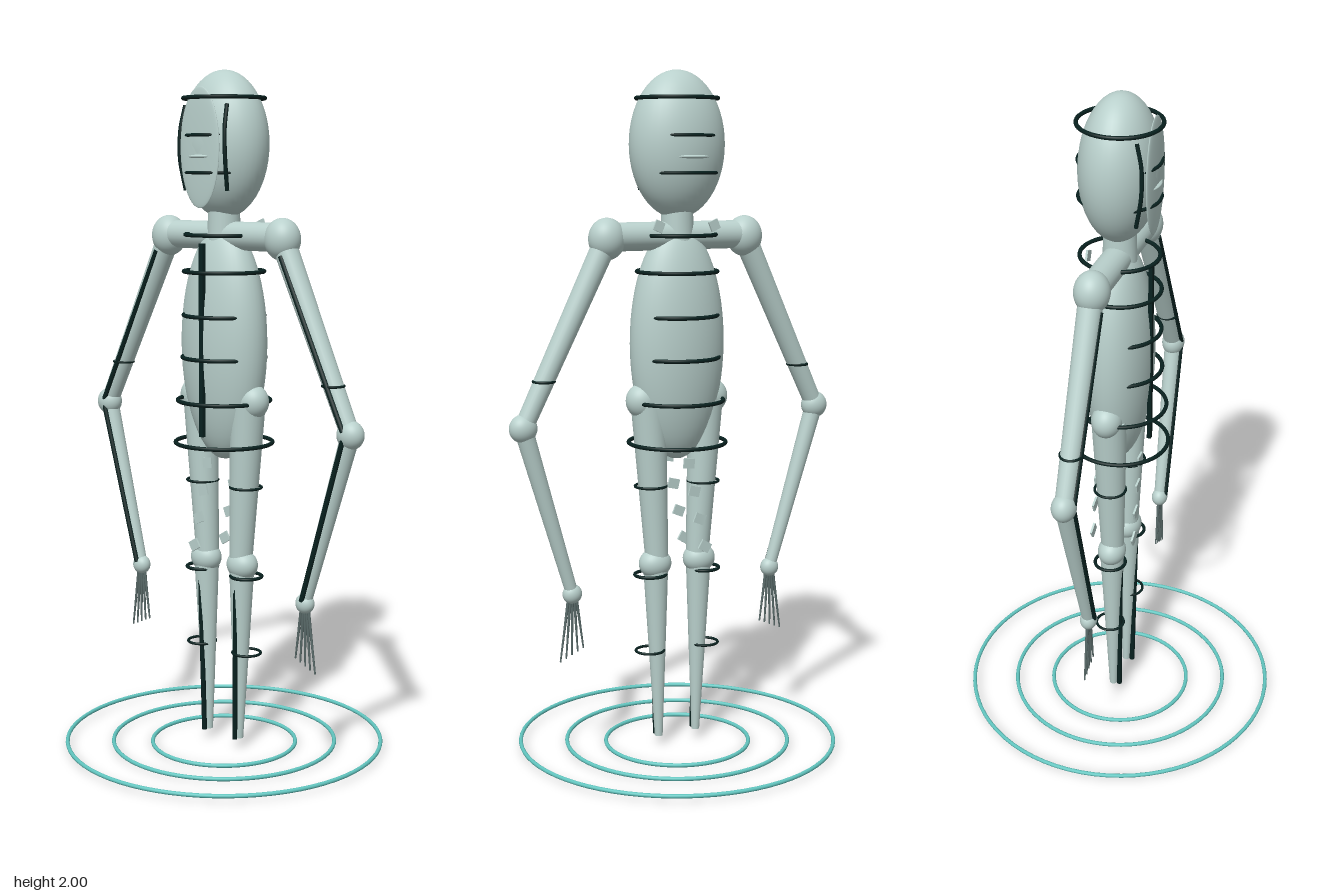
import * as THREE from 'three';

export function createModel() {
  const model = new THREE.Group();
  model.name = 'mannequin';
  const material = (name, color) => {
    const m = new THREE.MeshStandardMaterial({ color });
    m.name = name;
    return m;
  };
  const shell = material('paleShell', 0xb9d0cc);
  const dark = material('darkTrim', 0x08211f);
  const teal = material('tealGlow', 0x62c6c0);
  const grey = material('fingerGrey', 0x5a6b6a);

  const V = (x, y, z) => new THREE.Vector3(x, y, z);
  const add = (name, geometry, mat) => {
    const mesh = new THREE.Mesh(geometry, mat);
    mesh.name = name;
    model.add(mesh);
    return mesh;
  };
  // Ellipsoid at a centre with three radii
  const ball = (name, c, rx, ry = rx, rz = rx, mat = shell) => {
    const mesh = add(name, new THREE.SphereGeometry(1, 40, 28), mat);
    mesh.position.copy(c);
    mesh.scale.set(rx, ry, rz);
    return mesh;
  };
  // Tapered rod from a to b
  const rod = (name, a, b, ra, rb, mat = shell, sides = 24) => {
    const mesh = add(name, new THREE.CylinderGeometry(rb, ra, a.distanceTo(b), sides), mat);
    mesh.position.copy(a).lerp(b, 0.5);
    mesh.quaternion.setFromUnitVectors(V(0, 1, 0), b.clone().sub(a).normalize());
    return mesh;
  };
  // Horizontal ring
  const ring = (name, c, r, tube = 0.006, mat = dark) => {
    const mesh = add(name, new THREE.TorusGeometry(r, tube, 10, 72), mat);
    mesh.position.copy(c);
    mesh.rotation.x = Math.PI / 2;
    return mesh;
  };
  // Small thin floating slab
  const chip = (x, y, z, w, h, tilt) => {
    const mesh = add('chip', new THREE.BoxGeometry(w, h, 0.006), shell);
    mesh.position.set(x, y, z);
    mesh.rotation.z = tilt;
  };

  // Head, face plate and neck
  ball('head', V(0, 1.79, 0), 0.145, 0.21, 0.11);
  ball('facePlate', V(0, 1.78, 0.1), 0.076, 0.17, 0.009);
  ball('mouth', V(0, 1.755, 0), 0.1, 0.014, 0.117);
  rod('neck', V(0, 1.48, 0), V(0, 1.64, 0), 0.05, 0.045);
  ring('crownRing', V(0, 1.92, 0), 0.117);
  ring('browRing', V(0, 1.815, 0), 0.114, 0.005);
  ring('jawRing', V(0, 1.71, 0), 0.114, 0.005);

  // Torso with its breast bar and ribs
  ball('torso', V(0, 1.22, 0), 0.147, 0.345, 0.096);
  const bar = add('breastBar', new THREE.BoxGeometry(0.015, 0.56, 0.012), dark);
  bar.position.set(0, 1.23, 0.092);
  const ribs = [[1.533, 0.112], [1.427, 0.117], [1.3, 0.118], [1.177, 0.122], [1.05, 0.136], [0.925, 0.143]];
  for (const [y, r] of ribs) ring('ribRing', V(0, y, 0), r);
  rod('collarBone', V(-0.22, 1.53, 0), V(0.22, 1.53, 0), 0.041, 0.041);

  for (const s of [-1, 1]) {
    // Cheek line
    const cheek = new THREE.CatmullRomCurve3([
      V(s * 0.082, 1.9, 0.075), V(s * 0.087, 1.83, 0.09), V(s * 0.089, 1.75, 0.09), V(s * 0.082, 1.66, 0.074),
    ]);
    add('cheekLine', new THREE.TubeGeometry(cheek, 20, 0.006, 8), dark);

    // Arm with a dark front strip
    const shoulder = V(s * 0.225, 1.525, 0);
    const elbow = V(s * 0.485, 1, 0.01);
    const wrist = V(s * 0.335, 0.5, 0.02);
    ball('shoulder', shoulder, 0.054, 0.06, 0.05);
    rod('upperArm', shoulder, elbow, 0.035, 0.027);
    ball('elbow', elbow, 0.041, 0.041, 0.035);
    rod('forearm', elbow, wrist, 0.027, 0.018);
    ball('wrist', wrist, 0.029, 0.029, 0.025);
    rod('upperArmStrip', V(s * 0.247, 1.48, 0.032), V(s * 0.48, 1.01, 0.037), 0.008, 0.008, dark, 8);
    rod('forearmStrip', V(s * 0.48, 0.99, 0.036), V(s * 0.337, 0.51, 0.038), 0.008, 0.008, dark, 8);
    ring('armBand', V(s * 0.421, 1.13, 0.008), 0.03, 0.004);

    // Fingers
    for (let i = 0; i < 5; i++) {
      const tip = V(s * (0.375 - i * 0.0185), 0.3 + i * 0.008, 0.02);
      rod('finger', V(s * (0.347 - i * 0.006), 0.49, 0.02), tip, 0.005, 0.0025, grey, 8);
    }

    // Leg with a dark shin strip
    const hip = V(s * 0.112, 1.055, 0);
    const knee = V(s * 0.074, 0.565, 0);
    ball('hip', hip, 0.052, 0.052, 0.045);
    rod('thigh', V(s * 0.095, 1.05, 0), V(s * 0.068, 0.57, 0), 0.052, 0.034);
    ball('knee', knee, 0.05, 0.044, 0.042);
    rod('shin', V(s * 0.072, 0.55, 0), V(s * 0.063, 0.03, 0), 0.037, 0.012);
    rod('shinStrip', V(s * 0.073, 0.53, 0.027), V(s * 0.063, 0.03, 0.02), 0.008, 0.008, dark, 8);
    ring('thighRing', V(s * 0.088, 0.8, 0), 0.046, 0.004);
    ring('kneeRing', V(s * 0.09, 0.533, 0), 0.046, 0.005);
    ring('shinRing', V(s * 0.092, 0.3, 0), 0.042, 0.004);

    // Chips floating before and behind the thighs
    for (let i = 0; i < 4; i++) {
      chip(-0.005 - i * 0.018, 0.87 - i * 0.085, s * 0.065, 0.035, 0.03, 0.1 + i * 0.15);
    }
    chip(s * 0.09, 1.56, -0.06, 0.03, 0.03, s * 0.4);
  }

  // Rings on the floor
  ring('outerFloorRing', V(0, 0.018, 0), 0.473, 0.006, teal);
  ring('middleFloorRing', V(0, 0.012, 0), 0.334, 0.006, teal);
  ring('innerFloorRing', V(0, 0.006, 0), 0.216, 0.006, teal);

  return model;
}
